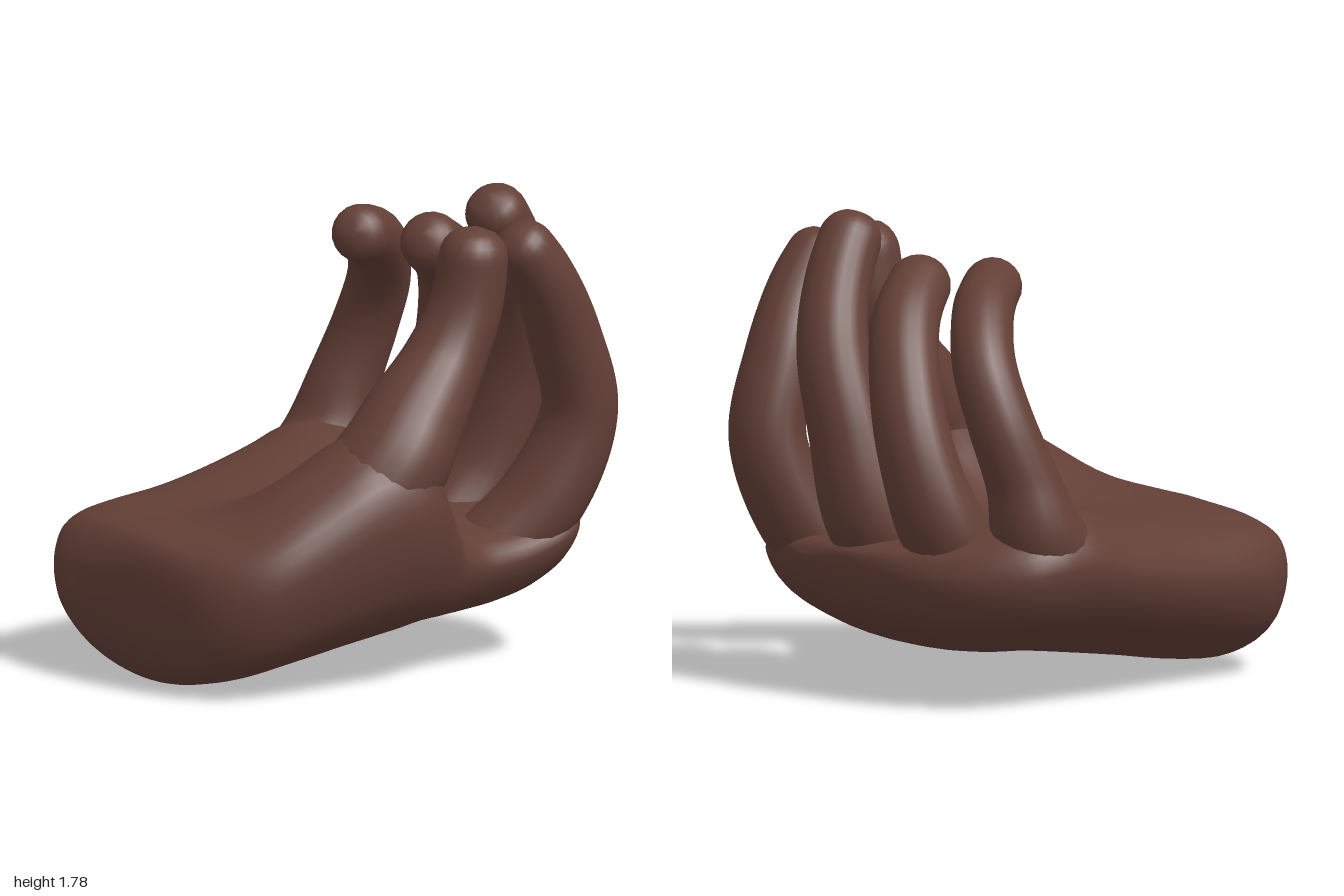
import * as THREE from 'three';
import { mergeVertices } from 'three/addons/utils/BufferGeometryUtils.js';

const skin = new THREE.MeshStandardMaterial({ color: 0x633f36 });
skin.name = 'brown skin';

// Weld seams so the shading stays smooth all round.
function smooth(geometry) {
  geometry.deleteAttribute('uv');
  geometry.deleteAttribute('normal');
  const welded = mergeVertices(geometry, 1e-4);
  welded.computeVertexNormals();
  return welded;
}

// Tapered tube through [x, y, z, radius] joints, widened in z towards the base, with a blunt round tip.
function digit(name, widen, joints) {
  const rings = 72, sides = 20;
  const curve = new THREE.CatmullRomCurve3(joints.map(([x, y, z]) => new THREE.Vector3(x, y, z)));
  const radii = new THREE.SplineCurve(joints.map((p, i) => new THREE.Vector2(i, p[3])));
  const geometry = new THREE.TubeGeometry(curve, rings, 1, sides);
  const pos = geometry.attributes.position;
  const length = curve.getLength(), tip = joints[joints.length - 1][3];
  const v = new THREE.Vector3();
  for (let i = 0; i <= rings; i++) {
    const u = i / rings, centre = curve.getPointAt(u);
    const over = Math.max(0, (u - 1) * length + tip) / tip;
    const r = radii.getPoint(curve.getUtoTmapping(u)).y * Math.sqrt(Math.max(0, 1 - over ** 2.3));
    for (let j = 0; j <= sides; j++) {
      const k = i * (sides + 1) + j;
      v.fromBufferAttribute(pos, k).sub(centre).multiplyScalar(r);
      v.z *= 1 + widen * (1 - u ** 3);
      v.add(centre);
      pos.setXYZ(k, v.x, v.y, v.z);
    }
  }
  const mesh = new THREE.Mesh(smooth(geometry), skin);
  mesh.name = name;
  return mesh;
}

// Cupped cross-section of the palm: bottom, thumb side, hollow, little finger side.
function palmLoop([x, z0, z1, low, little, hollow, thumb], count) {
  const ht = thumb - low, hl = little - low;
  const outline = [
    [0.5, low], [0.75, low + 0.05 * ht], [0.93, low + 0.23 * ht], [1, low + 0.63 * ht],
    [0.96, low + 0.87 * ht], [0.81, thumb], [0.5, hollow], [0.2, little],
    [0.05, low + 0.9 * hl], [0, low + 0.66 * hl], [0.07, low + 0.3 * hl], [0.25, low + 0.09 * hl],
  ].map(([t, y]) => new THREE.Vector3(x, y, z0 + t * (z1 - z0)));
  return new THREE.CatmullRomCurve3(outline, true).getPoints(count);
}

function palm() {
  // x, z range, bottom, then top at the little finger, hollow and thumb
  const sections = [
    [-0.995, -0.13, -0.11, 0.32, 0.33, 0.33, 0.33],
    [-0.975, -0.28, 0.1, 0.22, 0.43, 0.44, 0.44],
    [-0.9, -0.42, 0.45, 0.08, 0.54, 0.56, 0.56],
    [-0.8, -0.51, 0.68, 0.01, 0.58, 0.6, 0.59],
    [-0.65, -0.58, 0.81, 0.01, 0.6, 0.62, 0.65],
    [-0.4, -0.66, 0.86, 0.05, 0.62, 0.64, 0.82],
    [-0.15, -0.75, 0.87, 0.09, 0.66, 0.64, 0.97],
    [0.05, -0.81, 0.84, 0.12, 0.71, 0.64, 0.96],
    [0.18, -0.845, 0.74, 0.14, 0.75, 0.62, 0.76],
    [0.27, -0.86, 0.65, 0.15, 0.76, 0.61, 0.59],
    [0.37, -0.865, 0.6, 0.16, 0.75, 0.6, 0.54],
    [0.5, -0.83, 0.57, 0.18, 0.7, 0.59, 0.53],
    [0.66, -0.68, 0.54, 0.23, 0.64, 0.59, 0.55],
    [0.78, -0.46, 0.51, 0.32, 0.6, 0.59, 0.57],
    [0.84, -0.2, 0.46, 0.42, 0.57, 0.56, 0.56],
    [0.86, 0.1, 0.22, 0.5, 0.52, 0.52, 0.52],
  ];
  const around = 48, along = 75, points = [], index = [];
  const loops = sections.map((s) => palmLoop(s, around));
  const rails = loops[0].map((_, j) => new THREE.CatmullRomCurve3(loops.map((l) => l[j])));
  for (let i = 0; i <= along; i++) {
    for (const rail of rails) points.push(...rail.getPoint(i / along).toArray());
  }
  const w = around + 1;
  for (let i = 0; i < along; i++) {
    for (let j = 0; j < around; j++) {
      const a = i * w + j, b = a + w;
      index.push(a, b, a + 1, b, b + 1, a + 1);
    }
  }
  // close the wrist and knuckle ends
  for (let j = 1; j < around - 1; j++) {
    const e = along * w;
    index.push(0, j, j + 1, e, e + j + 1, e + j);
  }
  const geometry = new THREE.BufferGeometry();
  geometry.setAttribute('position', new THREE.Float32BufferAttribute(points, 3));
  geometry.setIndex(index);
  const mesh = new THREE.Mesh(smooth(geometry), skin);
  mesh.name = 'palm';
  return mesh;
}

export function createModel() {
  const hand = new THREE.Group();
  hand.name = 'cupped hand';
  hand.add(
    palm(),
    digit('thumb', 0.12, [
      [-0.42, 0.45, 0.52, 0.18], [-0.22, 0.63, 0.58, 0.21], [-0.03, 0.84, 0.61, 0.21], [0.085, 1, 0.58, 0.188],
      [0.235, 1.195, 0.53, 0.153], [0.33, 1.39, 0.52, 0.136], [0.37, 1.69, 0.535, 0.128],
    ]),
    digit('index finger', 0.18, [
      [0.5, 0.38, 0.31, 0.15], [0.725, 0.59, 0.365, 0.157], [0.862, 0.92, 0.41, 0.14],
      [0.785, 1.22, 0.44, 0.134], [0.67, 1.46, 0.49, 0.12], [0.52, 1.66, 0.515, 0.11],
    ]),
    digit('middle finger', 0.18, [
      [0.45, 0.38, -0.02, 0.15], [0.69, 0.65, -0.04, 0.162], [0.76, 1, 0.02, 0.142],
      [0.755, 1.3, 0.13, 0.132], [0.67, 1.53, 0.225, 0.122], [0.53, 1.76, 0.3, 0.115],
    ]),
    digit('ring finger', 0.15, [
      [0.38, 0.4, -0.38, 0.15], [0.6, 0.65, -0.405, 0.16], [0.685, 0.9, -0.365, 0.143],
      [0.685, 1.15, -0.27, 0.133], [0.59, 1.41, -0.115, 0.125], [0.38, 1.575, 0.06, 0.114],
    ]),
    digit('little finger', 0.06, [
      [0.1, 0.46, -0.55, 0.17], [0.35, 0.64, -0.67, 0.175], [0.43, 0.87, -0.67, 0.137],
      [0.5, 1.1, -0.625, 0.123], [0.51, 1.3, -0.53, 0.118], [0.41, 1.47, -0.37, 0.115], [0.21, 1.56, -0.16, 0.108],
    ]),
  );
  return hand;
}
